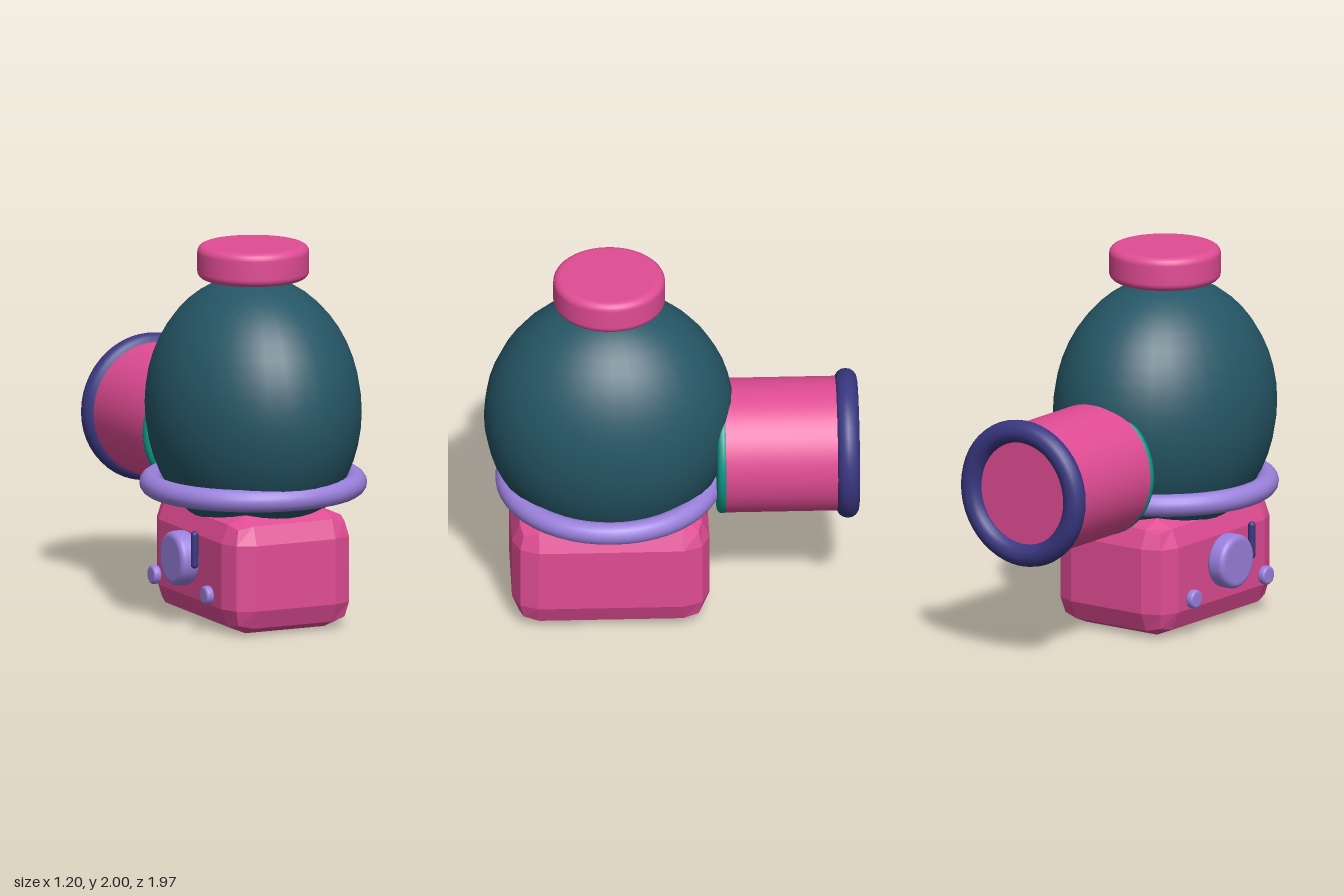
import * as THREE from 'three';

const mat = (name, color) => {
  const m = new THREE.MeshStandardMaterial({ color });
  m.name = name;
  return m;
};

// Solid disc along y with rounded rims, centred on the origin
function roundedDisc(radius, height, bevel, sides = 48) {
  const h = height / 2;
  const pts = [new THREE.Vector2(0, -h), new THREE.Vector2((radius - bevel) * 0.98, -h)];
  for (const [start, cy] of [[-Math.PI / 2, -h + bevel], [0, h - bevel]]) {
    for (let i = 0; i <= 5; i++) {
      const a = start + (i / 5) * Math.PI / 2;
      const p = new THREE.Vector2(radius - bevel + bevel * Math.cos(a), cy + bevel * Math.sin(a));
      if (p.distanceTo(pts[pts.length - 1]) > 1e-5) pts.push(p);
    }
  }
  pts.push(new THREE.Vector2((radius - bevel) * 0.98, h), new THREE.Vector2(0, h));
  return new THREE.LatheGeometry(pts, sides);
}

// Box whose edges are rounded with two flat facets
function facetedBox(w, h, d, r) {
  const geo = new THREE.BoxGeometry(2, 2, 2, 3, 3, 3);
  const pos = geo.attributes.position;
  const core = new THREE.Vector3(w / 2 - r, h / 2 - r, d / 2 - r);
  const v = new THREE.Vector3(), n = new THREE.Vector3();
  for (let i = 0; i < pos.count; i++) {
    v.fromBufferAttribute(pos, i);
    n.set(Math.trunc(v.x * 1.001), Math.trunc(v.y * 1.001), Math.trunc(v.z * 1.001)).normalize();
    v.set(Math.sign(v.x), Math.sign(v.y), Math.sign(v.z)).multiply(core).addScaledVector(n, r);
    pos.setXYZ(i, v.x, v.y, v.z);
  }
  const flat = geo.toNonIndexed();
  flat.computeVertexNormals();
  return flat;
}

export function createModel() {
  const pink = mat('pink', 0xe04c94);
  const petrol = mat('petrol', 0x255666);
  const lilac = mat('lilac', 0x9a80dc);
  const navy = mat('navy', 0x3a3882);
  const green = mat('green', 0x0f9484);

  const model = new THREE.Group();
  model.name = 'model';
  const add = (name, geo, material, x, y, z) => {
    const mesh = new THREE.Mesh(geo, material);
    mesh.name = name;
    mesh.position.set(x, y, z);
    model.add(mesh);
    return mesh;
  };
  const cz = 0.325; // centre of the body along z

  // Base, egg-shaped body, belt and lid
  add('base', facetedBox(0.74, 0.63, 1.04, 0.14), pink, 0, 0.315, cz);
  add('body', new THREE.SphereGeometry(1, 32, 24), petrol, 0, 1.13, cz).scale.set(0.55, 0.7, 0.66);
  add('belt', new THREE.TorusGeometry(0.54, 0.06, 16, 48), lilac, 0, 0.726, cz).rotation.x = Math.PI / 2;
  add('lid', roundedDisc(0.295, 0.18, 0.04), pink, 0, 1.91, cz);

  // Rear barrel with its collar and rim
  const axisY = 0.911;
  add('barrel', new THREE.CylinderGeometry(0.355, 0.355, 0.645, 48), pink, 0, axisY, -0.6025).rotation.x = Math.PI / 2;
  add('barrelCollar', roundedDisc(0.358, 0.06, 0.028), green, 0, axisY, -0.265).rotation.x = Math.PI / 2;
  add('barrelRim', new THREE.TorusGeometry(0.335, 0.06, 16, 48), navy, 0, axisY, -0.925);

  // Controls on the right side
  add('dial', roundedDisc(0.145, 0.11, 0.03, 32), lilac, -0.43, 0.355, cz).rotation.z = Math.PI / 2;
  for (const z of [0.01, 0.645]) {
    add('button', roundedDisc(0.05, 0.045, 0.014, 24), lilac, -0.425, 0.21, z).rotation.z = Math.PI / 2;
  }
  add('lever', new THREE.CapsuleGeometry(0.02, 0.16, 6, 12), navy, -0.432, 0.43, 0.51);

  return model;
}
